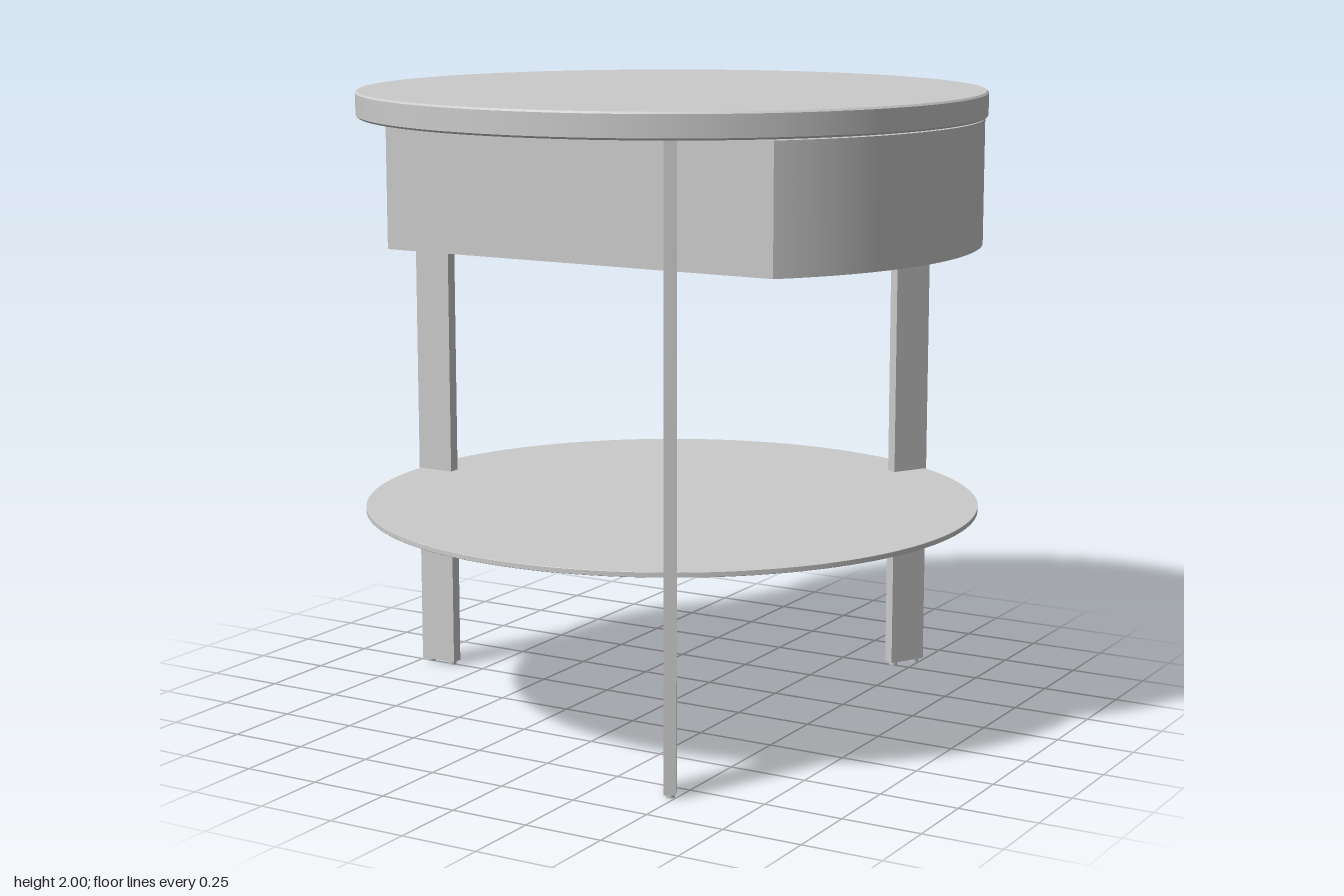
import * as THREE from 'three';

const grey = new THREE.MeshStandardMaterial({ color: 0xcacaca });
grey.name = 'grey paint';

function add(parent, name, geometry, x = 0, y = 0, z = 0) {
  const mesh = new THREE.Mesh(geometry, grey);
  mesh.name = name;
  mesh.position.set(x, y, z);
  parent.add(mesh);
  return mesh;
}

// Disc with a small bevel, profile split at the edges so they stay crisp
function disc(radius, bottom, top, bevel) {
  const rings = [
    [0, bottom], [radius - bevel, bottom], [radius - bevel, bottom],
    [radius, bottom + bevel], [radius, bottom + bevel],
    [radius, top - bevel], [radius, top - bevel],
    [radius - bevel, top], [radius - bevel, top], [0, top],
  ];
  return new THREE.LatheGeometry(rings.map(([r, y]) => new THREE.Vector2(r, y)), 128);
}

// Plan of the drawer: straight back and sides, front curved with the table edge
function drawerPlan(target, inset) {
  const radius = 0.98 - inset, half = 0.665 - inset, back = -0.625 + inset;
  const angle = Math.asin(half / radius);
  target.moveTo(back, -half);
  target.lineTo(radius * Math.cos(angle), -half);
  target.absarc(0, 0, radius, -angle, angle, false);
  target.lineTo(back, half);
  target.closePath();
  return target;
}

function extrudeUp(shape, depth) {
  const geometry = new THREE.ExtrudeGeometry(shape, { depth, bevelEnabled: false, curveSegments: 48 });
  return geometry.rotateX(-Math.PI / 2);
}

export function createModel() {
  const table = new THREE.Group();
  table.name = 'roundSideTable';

  add(table, 'tableTop', disc(0.99, 1.92, 2, 0.006));
  add(table, 'shelf', disc(0.982, 0.665, 0.681, 0.001));

  // Three radial board legs, each on two small glides
  for (const degrees of [60, 180, 300]) {
    const leg = new THREE.Group();
    leg.name = 'leg';
    leg.rotation.y = THREE.MathUtils.degToRad(degrees);
    add(leg, 'legBoard', new THREE.BoxGeometry(0.13, 1.908, 0.038), 0.92, 0.966, 0);
    for (const r of [0.875, 0.962]) {
      add(leg, 'glide', new THREE.CylinderGeometry(0.014, 0.014, 0.014, 16), r, 0.007, 0);
    }
    table.add(leg);
  }

  // Drawer box: thin walls around a slightly recessed bottom panel
  const drawer = new THREE.Group();
  drawer.name = 'drawer';
  const walls = drawerPlan(new THREE.Shape(), 0);
  walls.holes.push(drawerPlan(new THREE.Path(), 0.022));
  add(drawer, 'drawerWalls', extrudeUp(walls, 0.392), 0, 1.524, 0);
  add(drawer, 'drawerBottom', extrudeUp(drawerPlan(new THREE.Shape(), 0.02), 0.02), 0, 1.546, 0);
  table.add(drawer);

  // Pull tab: upright plate with rounded outer corners
  const tab = new THREE.Shape();
  tab.moveTo(0.64, 1.527);
  tab.lineTo(0.695, 1.527);
  tab.absarc(0.695, 1.567, 0.04, -Math.PI / 2, 0, false);
  tab.lineTo(0.735, 1.87);
  tab.absarc(0.695, 1.87, 0.04, 0, Math.PI / 2, false);
  tab.lineTo(0.64, 1.91);
  tab.closePath();
  const tabGeometry = new THREE.ExtrudeGeometry(tab, { depth: 0.022, bevelEnabled: false, curveSegments: 10 });
  tabGeometry.rotateY(Math.PI / 2);
  add(drawer, 'pullTab', tabGeometry, 0.694, 0, 0);

  return table;
}
